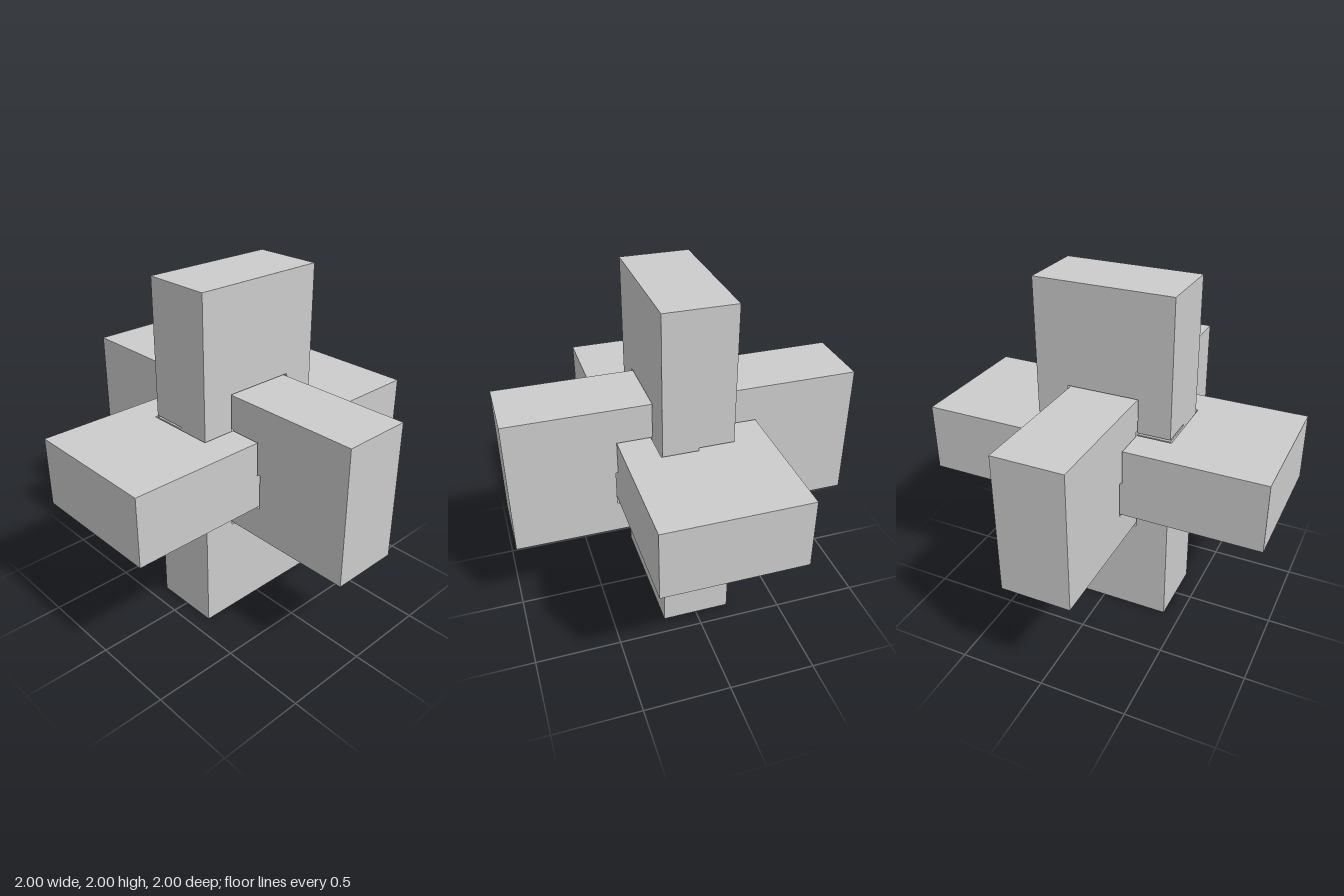
import * as THREE from 'three';

// Boxes are [x0, x1, y0, y1, z0, z1], measured from the centre of the cross.
const uprightPair = [-0.4, 0.4, -1, 1, -0.2, 0.2];
const sidePair = [-1, 1, -0.2, 0.2, -0.4, 0.4];
const depthPair = [-0.2, 0.2, -0.4, 0.4, -1, 1];

// Thin clearances left where the bars interlock
const gaps = [
  // around the front-to-back bars
  [-0.21, 0.21, 0.4, 0.41, -0.2, 0.2],
  [-0.21, -0.2, 0, 0.41, -0.4, 0.4],
  [0.2, 0.21, 0, 0.41, -0.4, 0.4],
  [-0.21, -0.2, -0.41, -0.2, -0.2, 0.2],
  [-0.21, 0, -0.41, -0.4, -0.2, 0.2],
  // around the side-to-side bars
  [-0.2, 0.2, -0.21, -0.2, -0.41, 0.41],
  [-0.2, 0.2, -0.21, 0, -0.41, -0.4],
  [-0.2, 0.2, -0.21, 0, 0.4, 0.41],
  [-0.4, 0.4, 0.2, 0.21, -0.2, 0],
  [-0.4, 0.4, -0.21, -0.2, -0.2, 0],
  // around the upright bars
  [-0.41, -0.2, -0.2, 0.2, -0.21, -0.2],
  [-0.41, -0.4, -0.2, 0.2, -0.21, 0.21],
  [-0.41, -0.2, -0.2, 0.2, 0.2, 0.21],
  [0.2, 0.41, -0.2, 0.2, 0.2, 0.21],
  [0.4, 0.41, -0.2, 0.2, 0, 0.21],
  [0, 0.2, -0.4, -0.2, -0.21, -0.2],
  [0, 0.2, -0.4, -0.2, 0.2, 0.21],
];

const inside = (p, b) =>
  [0, 1, 2].every((a) => p[a] > b[2 * a] && p[a] < b[2 * a + 1]);

// Carves box-shaped notches out of a bar and keeps only the exposed faces
function notchedBar(box, cuts) {
  const lines = [0, 1, 2].map((a) => {
    const lo = box[2 * a], hi = box[2 * a + 1];
    const marks = cuts.flatMap((c) => [c[2 * a], c[2 * a + 1]]);
    const within = marks.filter((m) => m > lo && m < hi);
    return [...new Set([lo, hi, ...within])].sort((m, n) => m - n);
  });
  const solid = (cell) => {
    if (cell.some((i, a) => i < 0 || i >= lines[a].length - 1)) return false;
    const mid = cell.map((i, a) => (lines[a][i] + lines[a][i + 1]) / 2);
    return !cuts.some((c) => inside(mid, c));
  };

  const positions = [];
  const addFace = (cell, a, dir) => {
    const u = (a + 1) % 3, v = (a + 2) % 3;
    const corners = [[0, 0], [1, 0], [1, 1], [0, 1]].map(([du, dv]) => {
      const p = [0, 0, 0];
      p[a] = lines[a][cell[a] + (dir > 0 ? 1 : 0)];
      p[u] = lines[u][cell[u] + du];
      p[v] = lines[v][cell[v] + dv];
      return p;
    });
    if (dir < 0) corners.reverse();
    for (const k of [0, 1, 2, 0, 2, 3]) positions.push(...corners[k]);
  };

  for (let i = 0; i < lines[0].length - 1; i++)
    for (let j = 0; j < lines[1].length - 1; j++)
      for (let k = 0; k < lines[2].length - 1; k++) {
        const cell = [i, j, k];
        if (!solid(cell)) continue;
        for (let a = 0; a < 3; a++)
          for (const dir of [-1, 1]) {
            const next = cell.slice();
            next[a] += dir;
            if (!solid(next)) addFace(cell, a, dir);
          }
      }

  const geometry = new THREE.BufferGeometry();
  geometry.setAttribute('position', new THREE.Float32BufferAttribute(positions, 3));
  geometry.computeVertexNormals();
  return geometry;
}

export function createModel() {
  const model = new THREE.Group();
  model.name = 'interlockingBars';
  const material = new THREE.MeshStandardMaterial({ color: 0xcccccc, flatShading: true });

  // Each pair is split along one axis and notched for the pair that crosses it
  const pairs = [
    { box: uprightPair, hole: depthPair, split: 0, names: ['rightUprightBar', 'leftUprightBar'] },
    { box: sidePair, hole: uprightPair, split: 2, names: ['backCrossBar', 'frontCrossBar'] },
    { box: depthPair, hole: sidePair, split: 1, names: ['lowerDepthBar', 'upperDepthBar'] },
  ];
  for (const { box, hole, split, names } of pairs) {
    names.forEach((name, half) => {
      const bar = box.slice();
      bar[2 * split + 1 - half] = 0;
      const mesh = new THREE.Mesh(notchedBar(bar, [hole, ...gaps]), material);
      mesh.name = name;
      mesh.position.y = 1;
      model.add(mesh);
    });
  }
  return model;
}
